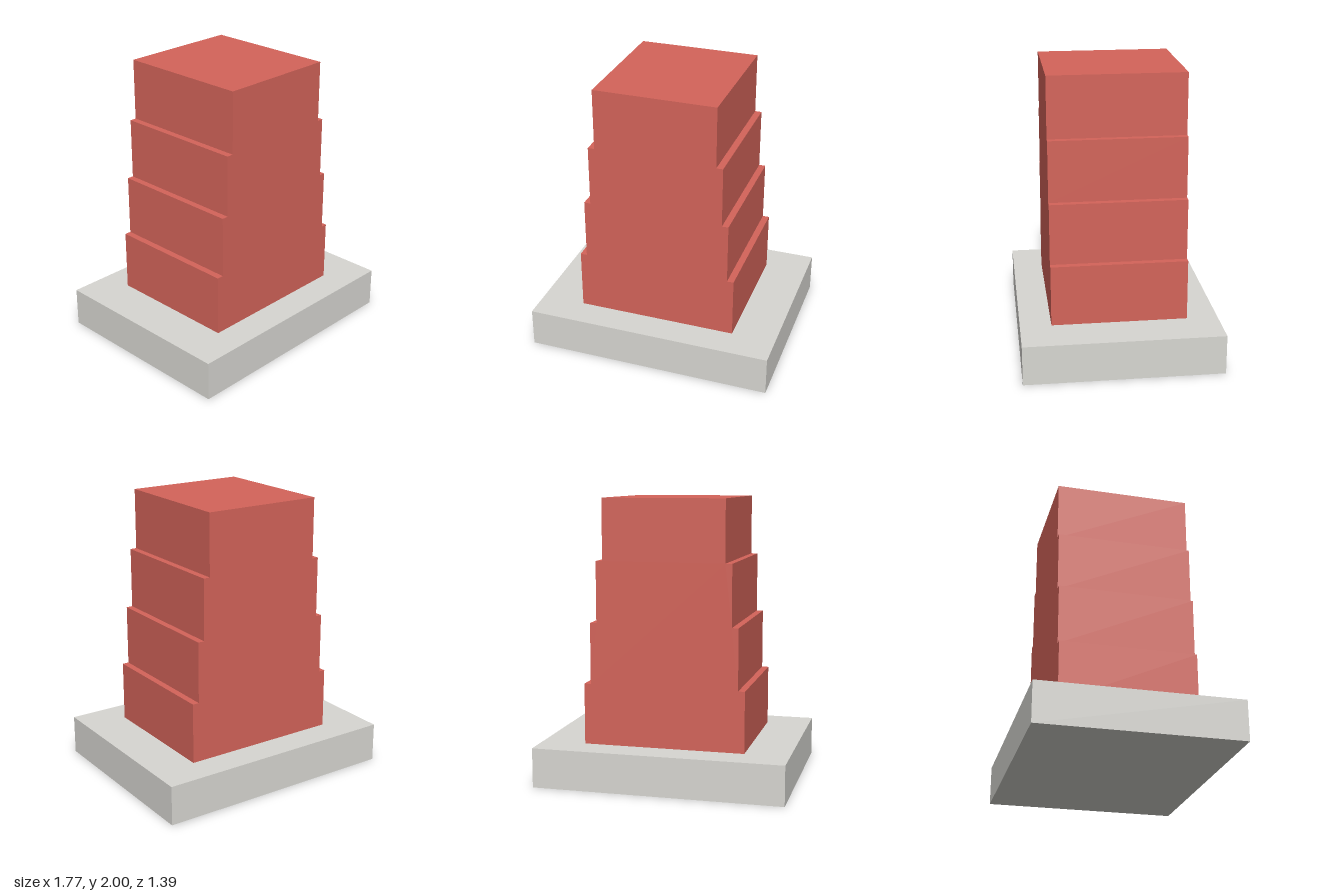
import * as THREE from 'three';

const BASE_HEIGHT = 0.28;
const TIER_HEIGHT = 0.43;
const TIER_HALF_WIDTHS = [0.57, 0.523, 0.477, 0.43]; // bottom to top
const TOWER_DEPTH = 0.95;

// Mirrored stepped outline of the tower, seen from the front
function towerOutline() {
  const right = TIER_HALF_WIDTHS.flatMap((w, i) => [
    new THREE.Vector2(w, BASE_HEIGHT + i * TIER_HEIGHT),
    new THREE.Vector2(w, BASE_HEIGHT + (i + 1) * TIER_HEIGHT),
  ]);
  const left = right.map((p) => new THREE.Vector2(-p.x, p.y)).reverse();
  return new THREE.Shape([...right, ...left]);
}

export function createModel() {
  const group = new THREE.Group();
  group.name = 'steppedTowerOnPlinth';

  // Flat rectangular plinth
  const plinth = new THREE.Mesh(
    new THREE.BoxGeometry(1.766, BASE_HEIGHT, 1.386),
    new THREE.MeshStandardMaterial({ color: 0xd8d7d2 })
  );
  plinth.name = 'plinth';
  plinth.position.y = BASE_HEIGHT / 2;
  group.add(plinth);

  // Tower with four tiers that narrow on the two sides only
  const towerGeometry = new THREE.ExtrudeGeometry(towerOutline(), {
    depth: TOWER_DEPTH,
    bevelEnabled: false,
  });
  towerGeometry.translate(0, 0, -TOWER_DEPTH / 2);
  const tower = new THREE.Mesh(
    towerGeometry,
    new THREE.MeshStandardMaterial({ color: 0xd4645a })
  );
  tower.name = 'steppedTower';
  group.add(tower);

  return group;
}
